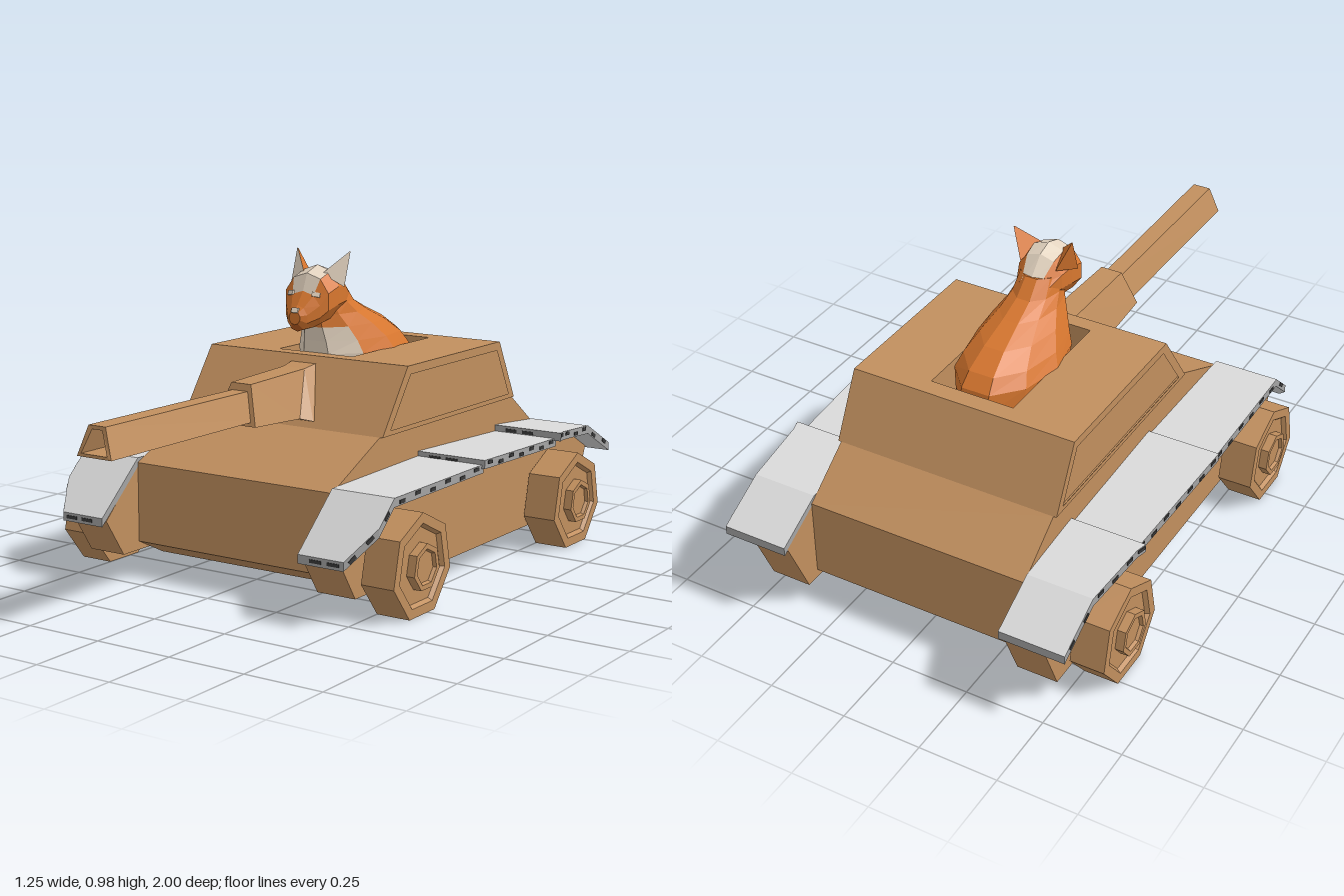
import * as THREE from 'three';

const mat = (name, color) => Object.assign(new THREE.MeshStandardMaterial({ color }), { name });
const cardboard = mat('cardboard', 0xc18f5e);
const paleGrey = mat('paleGrey', 0xdadada);
const edgeGrey = mat('edgeGrey', 0xa4a4a4);
const charcoal = mat('charcoal', 0x3a3a3a);
const orange = mat('orange', 0xd8772f);
const rust = mat('rust', 0xb45a20);
const cream = mat('cream', 0xe6d6c2);

function add(parent, name, geometry, material) {
  const mesh = new THREE.Mesh(geometry, material);
  mesh.name = name;
  parent.add(mesh);
  return mesh;
}

// Side profile of [z, y] points (and an optional hole) extruded from x0 to x1
function sideExtrude(points, x0, x1, hole) {
  const v = (p) => p.map(([z, y]) => new THREE.Vector2(-z, y));
  const shape = new THREE.Shape(v(points));
  if (hole) shape.holes.push(new THREE.Path(v(hole)));
  const geo = new THREE.ExtrudeGeometry(shape, { depth: x1 - x0, bevelEnabled: false });
  return geo.rotateY(Math.PI / 2).translate(x0, 0, 0);
}

// Faceted skin over rings that turn right-handed about the travel direction;
// pick(i, j) gives the material index of each face, i = -1 and -2 being the caps
function loft(rings, pick = () => 0) {
  const pos = [], geo = new THREE.BufferGeometry(), n = rings[0].length;
  const face = (index, ...pts) => {
    const start = pos.length / 3;
    for (let k = 1; k < pts.length - 1; k++) pos.push(...pts[0], ...pts[k], ...pts[k + 1]);
    geo.addGroup(start, pos.length / 3 - start, index);
  };
  for (let i = 0; i < rings.length - 1; i++) {
    for (let j = 0; j < n; j++) {
      const k = (j + 1) % n;
      face(pick(i, j), rings[i][j], rings[i][k], rings[i + 1][k], rings[i + 1][j]);
    }
  }
  face(pick(-1, 0), ...rings[0].slice().reverse());
  face(pick(-2, 0), ...rings[rings.length - 1]);
  geo.setAttribute('position', new THREE.Float32BufferAttribute(pos, 3));
  geo.computeVertexNormals();
  return geo;
}

// Mirrors a ring to the right side while keeping its faces outward
const sided = (ring, s) => (s > 0 ? ring : ring.map(([x, y, z]) => [-x, y, z]).reverse());

function buildHull(tank) {
  add(tank, 'hull', sideExtrude([
    [0.375, 0.095], [0.375, 0.345], [0.12, 0.465], [-0.69, 0.465],
    [-0.855, 0.345], [-0.855, 0.095], [-0.75, 0.037], [0.26, 0.037]], -0.36, 0.36), cardboard);
  const pod = [[0.53, 0.19], [0.45, 0.068], [-0.9, 0.068], [-0.985, 0.265],
    [-0.84, 0.345], [-0.1, 0.352], [0.375, 0.34]];
  add(tank, 'leftSidePod', sideExtrude(pod, 0.36, 0.49), cardboard);
  add(tank, 'rightSidePod', sideExtrude(pod, -0.49, -0.36), cardboard);
}

function buildTurret(tank) {
  const turret = new THREE.Group();
  turret.name = 'turret';
  tank.add(turret);
  // solid blocks left around the open hatch
  const outline = [[0.12, 0.465], [-0.02, 0.662], [-0.587, 0.662], [-0.69, 0.465]];
  const inset = [[0.075, 0.48], [-0.038, 0.635], [-0.57, 0.635], [-0.652, 0.48]];
  for (const s of [1, -1]) {
    const range = (a, b) => (s > 0 ? [a, b] : [-b, -a]);
    add(turret, 'turretSide', sideExtrude(outline, ...range(0.138, 0.355)), cardboard);
    add(turret, 'turretSideFrame', sideExtrude(outline, ...range(0.355, 0.37), inset), cardboard);
  }
  add(turret, 'turretFront', sideExtrude(
    [[0.12, 0.465], [-0.02, 0.662], [-0.07, 0.662], [-0.07, 0.465]], -0.138, 0.138), cardboard);
  add(turret, 'turretBack', sideExtrude(
    [[-0.53, 0.465], [-0.53, 0.662], [-0.587, 0.662], [-0.69, 0.465]], -0.138, 0.138), cardboard);

  // gun: nested trapezoid tubes, the front one hollow
  const trap = (wb, wt, yb, yt, zb, zt = zb) =>
    [[-wb, yb, zb], [wb, yb, zb], [wt, yt, zt], [-wt, yt, zt]];
  add(turret, 'gunMantlet', loft([
    trap(0.115, 0.045, 0.485, 0.64, 0.08, -0.03), trap(0.115, 0.045, 0.485, 0.64, 0.112, 0.0),
    trap(0.085, 0.04, 0.494, 0.632, 0.14, 0.05), trap(0.077, 0.036, 0.503, 0.623, 0.36, 0.325)]), cardboard);
  add(turret, 'gunBarrel', loft([
    trap(0.057, 0.028, 0.515, 0.602, 0.3), trap(0.061, 0.03, 0.517, 0.605, 1, 0.985),
    trap(0.046, 0.018, 0.526, 0.594, 1, 0.985), trap(0.04, 0.014, 0.526, 0.59, 0.45)]), cardboard);
}

function buildWheels(tank) {
  // stepped seven-sided disc with a recessed face and a raised hub
  const profile = [[0, 0], [0.16, 0], [0.16, 0.11], [0.128, 0.11], [0.118, 0.098],
    [0.071, 0.098], [0.071, 0.125], [0.055, 0.125], [0.05, 0.115], [0, 0.115]];
  const geo = new THREE.LatheGeometry(profile.map(([r, y]) => new THREE.Vector2(r, y)), 7, -Math.PI / 2)
    .rotateZ(-Math.PI / 2).translate(0.5, 0, 0).toNonIndexed();
  geo.computeVertexNormals();
  for (const s of [1, -1]) {
    for (const [name, z] of [['frontWheel', 0.28], ['rearWheel', -0.69]]) {
      const wheel = add(tank, name, geo, cardboard);
      wheel.position.set(0, 0.145, z);
      if (s < 0) wheel.rotation.y = Math.PI;
      const axle = add(tank, 'axle', new THREE.BoxGeometry(0.03, 0.06, 0.06), cardboard);
      axle.position.set(s * 0.49, 0.145, z);
    }
  }
}

function buildFenders(tank) {
  // plates as [z, top y, outer x] from back to front
  const plates = {
    rearFender: [[-1, 0.28, 0.57], [-0.84, 0.365, 0.57], [-0.62, 0.384, 0.59], [-0.585, 0.386, 0.6]],
    middleFender: [[-0.6, 0.365, 0.575], [-0.1, 0.385, 0.595]],
    frontFender: [[-0.11, 0.37, 0.585], [0.375, 0.36, 0.572], [0.455, 0.288, 0.572], [0.55, 0.203, 0.515]],
  };
  const thick = 0.027;
  for (const s of [1, -1]) {
    for (const [name, path] of Object.entries(plates)) {
      const rings = path.map(([z, y, x]) =>
        sided([[0.36, y - thick, z], [x, y - thick, z], [x, y, z], [0.36, y, z]], s));
      add(tank, name, loft(rings, (i, j) => (i < 0 || j % 2 ? 1 : 0)), [paleGrey, edgeGrey]);
      // dark flecks along the cut edge
      for (let i = 0; i < path.length - 1; i++) {
        const a = new THREE.Vector3(path[i][2], path[i][1], path[i][0]);
        const b = new THREE.Vector3(path[i + 1][2], path[i + 1][1], path[i + 1][0]);
        const count = Math.max(1, Math.round(a.distanceTo(b) / 0.075));
        for (let k = 0; k < count; k++) {
          const fleck = add(tank, 'edgeFleck', new THREE.BoxGeometry(0.004, 0.011, 0.028), charcoal);
          const p = a.clone().lerp(b, (k + 0.5) / count);
          fleck.position.set(s * p.x, p.y - 0.009 - 0.008 * (k % 2), p.z);
          fleck.rotation.set(-Math.atan2(b.y - a.y, b.z - a.z), s * Math.atan2(b.x - a.x, b.z - a.z), 0, 'YXZ');
        }
      }
    }
    for (const [y, z] of [[0.19, 0.55], [0.372, -0.1], [0.373, -0.585]]) {
      for (const x of [0.42, 0.48]) {
        const fleck = add(tank, 'endFleck', new THREE.BoxGeometry(0.04, 0.01, 0.004), charcoal);
        fleck.position.set(s * x, y, z);
      }
    }
  }
}

function buildFox(tank) {
  const fox = new THREE.Group();
  fox.name = 'fox';
  tank.add(fox);
  const N = 10, angle = (j) => ((j + 0.5) / N) * Math.PI * 2;
  const ring = (fn) => Array.from({ length: N }, (_, j) => fn(Math.cos(angle(j)), Math.sin(angle(j))));

  // body: level sections [y, back z, front z, half width]
  const body = [[0.466, -0.525, -0.075, 0.13], [0.6, -0.525, -0.075, 0.136], [0.66, -0.515, -0.07, 0.145],
    [0.7, -0.48, -0.065, 0.128], [0.745, -0.405, -0.055, 0.104], [0.785, -0.31, -0.05, 0.08],
    [0.82, -0.235, -0.05, 0.068], [0.87, -0.185, -0.06, 0.06]];
  add(fox, 'body', loft(
    body.map(([y, z0, z1, w]) => ring((c, s) => [s * w * 1.04, y, (z0 + z1) / 2 + c * (z1 - z0) / 2 * 1.04])),
    (i, j) => (i >= 0 && i < 4 && (j === N - 1 || j === 0 || j === N - 2) ? 1 : 0)), [orange, cream]);

  // head: upright sections [z, bottom y, top y, half width] from nape to nose
  const head = [[-0.19, 0.79, 0.86, 0.05], [-0.13, 0.775, 0.92, 0.074], [-0.08, 0.76, 0.935, 0.081],
    [-0.022, 0.75, 0.915, 0.081], [0, 0.745, 0.862, 0.064], [0.03, 0.743, 0.822, 0.037], [0.046, 0.765, 0.806, 0.02]];
  const crown = (j) => j === 2 || j === 1;
  const jaw = (j) => j >= 6 && j <= 7;
  add(fox, 'head', loft(
    head.map(([z, y0, y1, w]) => ring((c, s) => [c * w * 1.04, (y0 + y1) / 2 + s * (y1 - y0) / 2 * 1.04, z])),
    (i, j) => (i >= 0 && i < 4 && crown(j) ? 1 : i >= 3 && jaw(j) ? 2 : 0)), [orange, cream, rust]);
  const nose = add(fox, 'nose', new THREE.BoxGeometry(0.024, 0.016, 0.009), cream);
  nose.position.set(0, 0.808, 0.042);
  nose.rotation.x = -0.5;

  for (const s of [1, -1]) {
    const eye = add(fox, 'eye', new THREE.BoxGeometry(0.026, 0.014, 0.009), cream);
    eye.position.set(s * 0.046, 0.855, -0.004);
    eye.rotation.set(-0.4, s * 0.4, 0);
    // ear: three-sided spike with a pale inner face
    const base = [[0.034, 0.915, -0.055], [0.1, 0.875, -0.08], [0.06, 0.89, -0.145]];
    const tip = [0.1, 0.985, -0.115];
    const top = base.map((p) => p.map((v, k) => tip[k] + (v - tip[k]) * 0.04));
    add(fox, 'ear', loft([sided(base, s), sided(top, s)],
      (i, j) => (i === 0 && j === (s > 0 ? 0 : 1) ? 1 : 0)), [orange, cream]);
  }
}

export function createModel() {
  const tank = new THREE.Group();
  tank.name = 'cardboardTank';
  buildHull(tank);
  buildTurret(tank);
  buildWheels(tank);
  buildFenders(tank);
  buildFox(tank);
  return tank;
}
